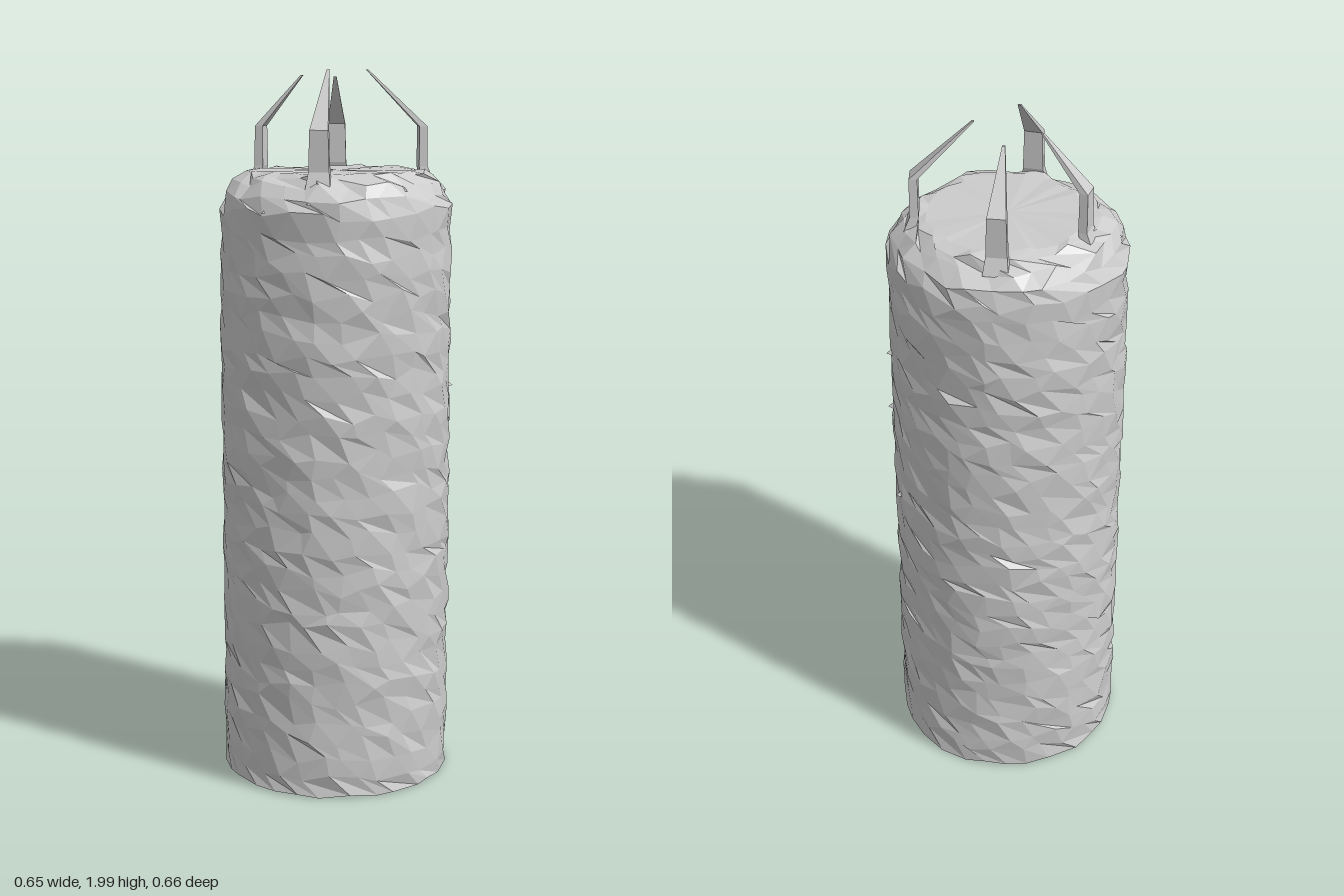
import * as THREE from 'three';

const material = new THREE.MeshStandardMaterial({ color: 0xcccccc, flatShading: true, side: THREE.DoubleSide });

// Small seeded generator for the crumpled surface
function seeded(seed) {
  return () => {
    seed = (seed * 16807) % 2147483647;
    return (seed / 2147483647) * 2 - 1; // -1 .. 1
  };
}

// Crumpled cylindrical bag: a lathe whose rows are nudged around, up and in
function makeBag() {
  const sides = 28, rows = 30;
  const wall = Array.from({ length: rows + 1 }, (_, j) => [0.32, 0.013 + (1.61 * j) / rows]);
  const profile = [[0, 0.01], ...wall, [0.305, 1.665], [0.275, 1.70], [0.24, 1.72], [0.208, 1.727], [0, 1.727]]
    .map(([r, y]) => new THREE.Vector2(r, y));
  const geometry = new THREE.LatheGeometry(profile, sides);
  const p = geometry.attributes.position;
  const count = profile.length;
  const random = seeded(4711);
  for (let i = 0; i < sides; i++) {
    for (let j = 0; j < count; j++) {
      const a = random(), b = random(), c = random();
      if (j === 0 || j === count - 1) continue; // cap centres stay put
      const bottom = j === 1, rim = j >= count - 5;
      let { x: r, y } = profile[j];
      let angle = ((i + (j % 2) * 0.5 + a * 0.3) / sides) * Math.PI * 2;
      r += bottom ? b * 0.003 : b * (rim ? 0.011 : 0.005);
      if (bottom) y = 0.013 + c * 0.006;
      else if (j === count - 2) y += c * 0.003;
      else y += c * (rim ? 0.011 : 0.018);
      const x = Math.sin(angle) * r, z = Math.cos(angle) * r * 1.015;
      p.setXYZ(i * count + j, x, y, z);
      if (i === 0) p.setXYZ(sides * count + j, x, y, z); // close the seam
    }
  }
  geometry.computeVertexNormals();
  const mesh = new THREE.Mesh(geometry, material);
  mesh.name = 'bagBody';
  return mesh;
}

// Hanging strap: four-cornered sections rising, bending inwards and tapering.
// Each section: [centre x, y, centre z, half width, half thickness]
function makeStrap(sections, inward) {
  const across = new THREE.Vector2(-inward.y, inward.x);
  const positions = [], index = [];
  for (const [x, y, z, w, t] of sections) {
    for (const [u, v] of [[-1, -1], [1, -1], [1, 1], [-1, 1]]) {
      positions.push(x + across.x * u * w + inward.x * v * t, y, z + across.y * u * w + inward.y * v * t);
    }
  }
  const last = sections.length - 1;
  for (let s = 0; s < last; s++) {
    for (let k = 0; k < 4; k++) {
      const a = s * 4 + k, b = s * 4 + ((k + 1) % 4);
      index.push(a, a + 4, b, b, a + 4, b + 4);
    }
  }
  index.push(last * 4, last * 4 + 3, last * 4 + 2, last * 4, last * 4 + 2, last * 4 + 1);
  const geometry = new THREE.BufferGeometry();
  geometry.setAttribute('position', new THREE.Float32BufferAttribute(positions, 3));
  geometry.setIndex(index);
  geometry.computeVertexNormals();
  return new THREE.Mesh(geometry, material);
}

export function createModel() {
  const group = new THREE.Group();
  group.name = 'hangingBag';
  group.add(makeBag());

  // Straps: base x, base z, tip x, tip z, tip height
  const straps = [
    ['frontLeftStrap', 0.12, 0.215, 0.03, 0.07, 2.0],
    ['backLeftStrap', 0.155, -0.19, 0.045, -0.08, 2.0],
    ['backRightStrap', -0.155, -0.19, -0.08, -0.093, 1.98],
    ['frontRightStrap', -0.215, 0.07, -0.108, 0.017, 1.985],
  ];
  for (const [name, bx, bz, tx, tz, top] of straps) {
    const inward = new THREE.Vector2(tx - bx, tz - bz).normalize();
    const strap = makeStrap([
      [bx - inward.x * 0.015, 1.69, bz - inward.y * 0.015, 0.034, 0.016],
      [bx, 1.735, bz, 0.028, 0.012],
      [bx, 1.845, bz, 0.025, 0.011],
      [tx, top, tz, 0.004, 0.003],
    ], inward);
    strap.name = name;
    group.add(strap);
  }

  // Torn flaps of material around the top edge and on the back
  const flaps = new THREE.Group();
  flaps.name = 'tornFlaps';
  for (const [angle, y, r] of [[0.05, 1.635, 0.312], [0.45, 1.66, 0.3], [-0.9, 1.68, 0.285], [1.4, 1.69, 0.275],
    [2.5, 1.69, 0.28], [2.55, 1.33, 0.32], [2.4, 1.12, 0.32], [2.7, 0.88, 0.32]]) {
    const flap = new THREE.Mesh(new THREE.ConeGeometry(0.028, 0.014, 3), material);
    flap.name = 'flap';
    flap.scale.z = 0.6;
    flap.position.set(Math.sin(angle) * r, y, Math.cos(angle) * r);
    flap.rotation.y = angle;
    flaps.add(flap);
  }
  group.add(flaps);
  return group;
}
